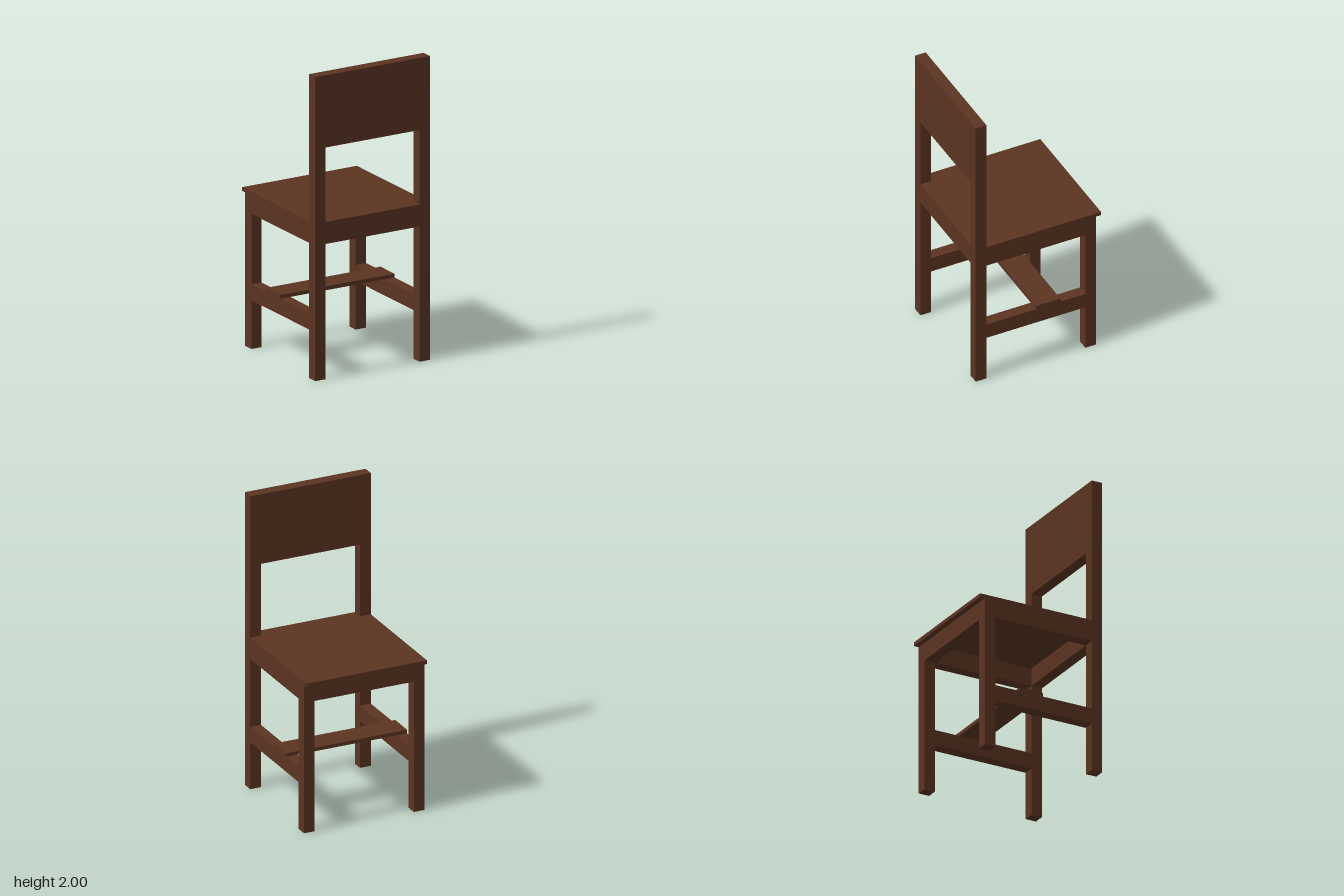
import * as THREE from 'three';

export function createModel() {
  const chair = new THREE.Group();
  chair.name = 'chair';
  const wood = new THREE.MeshStandardMaterial({ color: 0x5c3422 });
  wood.name = 'dark brown wood';

  // Board spanning the given limits on each axis
  const board = (name, [x0, x1], [y0, y1], [z0, z1]) => {
    const mesh = new THREE.Mesh(new THREE.BoxGeometry(x1 - x0, y1 - y0, z1 - z0), wood);
    mesh.position.set((x0 + x1) / 2, (y0 + y1) / 2, (z0 + z1) / 2);
    mesh.name = name;
    chair.add(mesh);
  };

  const W = 0.42, IN = 0.345;            // outer and inner half widths
  const BACK = [0.365, 0.44];            // depth of the rear posts
  const FRONT = [-0.405, -0.33];         // depth of the short legs
  const BETWEEN = [FRONT[1], BACK[0]];

  // Legs, side aprons and side stretchers
  for (const [side, x] of [['left', [IN, W]], ['right', [-W, -IN]]]) {
    board(side + 'BackPost', x, [0, 1.525], BACK);
    board(side + 'ShortLeg', x, [0, 1.01], FRONT);
    board(side + 'Apron', x, [0.89, 1.01], BETWEEN);
    board(side + 'Stretcher', x, [0.32, 0.425], BETWEEN);
  }

  // Backrest panel and cross aprons
  board('backrest', [-W, W], [1.525, 2], BACK);
  board('backApron', [-IN, IN], [0.89, 1.035], BACK);
  board('frontApron', [-IN, IN], [0.89, 1.01], FRONT);

  // Seat overhanging the short legs, and the flat bar across the stretchers
  board('seat', [-W, W], [1.01, 1.035], [-0.44, BACK[0]]);
  board('crossBar', [-W, W], [0.425, 0.45], [-0.155, 0.015]);

  return chair;
}
